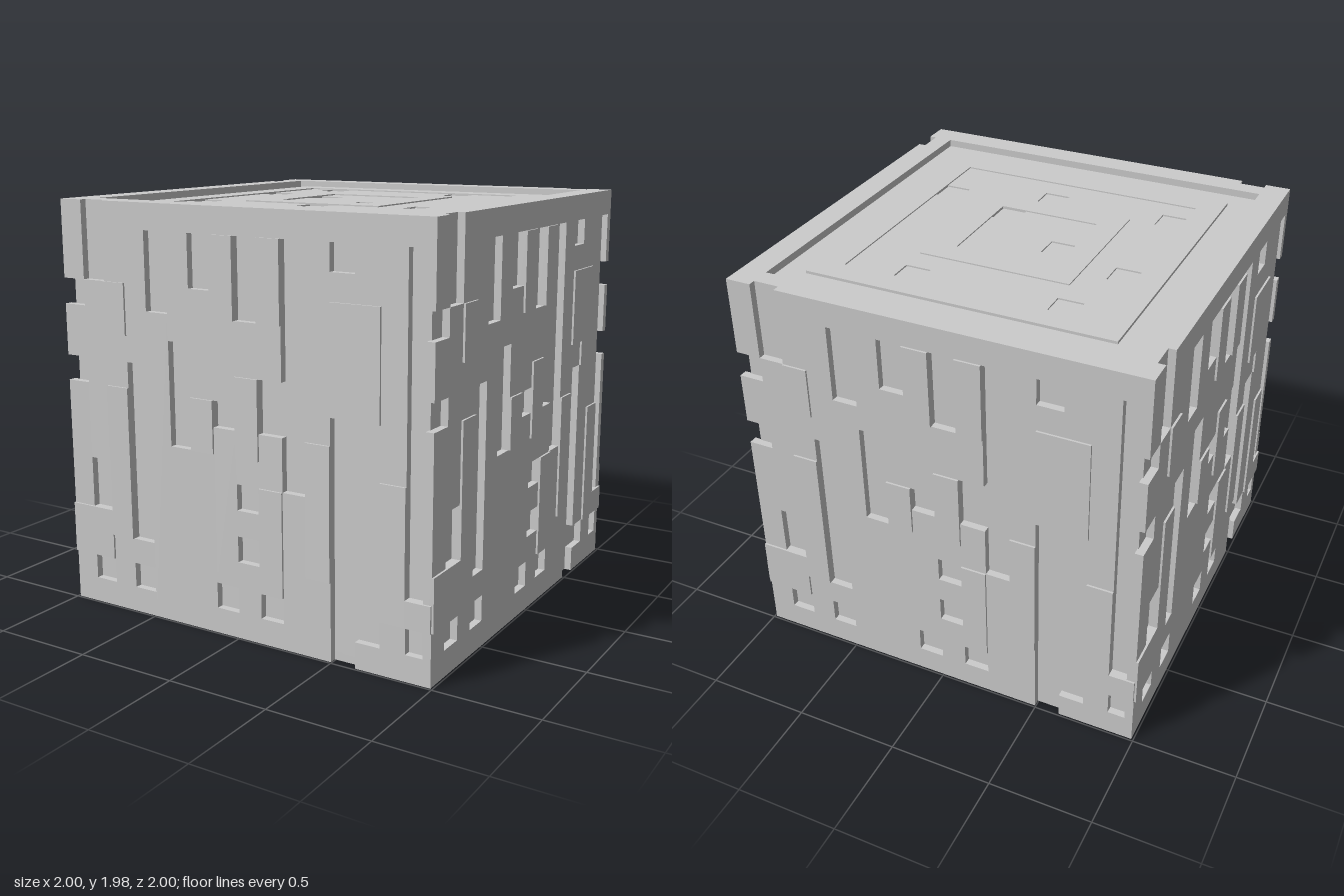
import * as THREE from 'three';
import { mergeGeometries } from 'three/addons/utils/BufferGeometryUtils.js';

const N = 16, HALF = 0.99, CELL = (2 * HALF) / N, CORE = 0.955;

// Height of every cell by a rule of column and row
const heights = (rule) =>
  Array.from({ length: N }, (_, c) => Array.from({ length: N }, (_, r) => rule(c, r)));

// Turn a height grid into blocks standing on the core's +z face
function relief(grid, limit) {
  const clip = (i) => Math.max(-limit, Math.min(limit, -HALF + i * CELL));
  const back = CORE - 0.005;
  const parts = [];
  grid.forEach((column, c) => {
    for (let r = 0, end; r < N; r = end) {
      const h = column[r];
      end = r + 1;
      while (end < N && column[end] === h) end++;
      if (h <= CORE) continue;
      const x0 = clip(c), x1 = clip(c + 1), y0 = clip(r), y1 = clip(end);
      const g = new THREE.BoxGeometry(x1 - x0, y1 - y0, h - back);
      parts.push(g.translate((x0 + x1) / 2, (y0 + y1) / 2, (h + back) / 2));
    }
  });
  return mergeGeometries(parts);
}

// Vertical strips in the bark: column, first row, last row
const grooves = [
  [0, 9, 9], [0, 12, 12], [1, 4, 5], [1, 13, 15], [3, 3, 9], [4, 12, 14],
  [5, 7, 10], [6, 13, 14], [7, 8, 8], [8, 3, 3], [8, 5, 5], [8, 12, 14],
  [9, 8, 9], [10, 6, 14], [12, 0, 8], [12, 14, 14], [15, 3, 14],
];
const plates = [
  [0, 2, 3], [1, 2, 3], [2, 3, 8], [2, 11, 12], [6, 7, 8], [7, 12, 14],
  [8, 7, 9], [9, 2, 5], [9, 12, 14], [11, 3, 7], [12, 10, 12], [13, 9, 12],
  [14, 2, 6], [15, 2, 2],
];

function barkHeight(c, r) {
  const inside = ([col, r0, r1]) => c === col && r >= r0 && r <= r1;
  const chip = r === 1 && c % 2 === 1 && c % 6 !== 5; // row of chips near the foot
  if (chip || grooves.some(inside)) return CORE;
  return plates.some(inside) ? 1 : HALF;
}

// Cut end: rim, groove, alternating growth rings and single sunken knots
const knots = [[3, 9], [6, 8], [9, 6], [8, 4], [12, 5], [3, 4], [4, 12], [10, 12]];

function endHeight(c, r) {
  const ring = Math.min(c, r, N - 1 - c, N - 1 - r);
  if (ring === 0) return HALF;
  if (ring === 1 || knots.some(([kc, kr]) => kc === c && kr === r)) return CORE;
  return ring === 2 || ring === 5 ? 0.968 : 0.962;
}

export function createModel() {
  const model = new THREE.Group();
  model.name = 'logBlock';
  const material = new THREE.MeshStandardMaterial({ color: 0xcccccc, flatShading: true });
  const add = (name, geometry, rx = 0, ry = 0) => {
    const mesh = new THREE.Mesh(geometry, material);
    mesh.name = name;
    mesh.rotation.set(rx, ry, 0);
    mesh.position.y = HALF;
    model.add(mesh);
  };

  // Solid heart
  add('core', new THREE.BoxGeometry(2 * CORE, 2 * CORE, 2 * CORE));

  // Same bark on all four sides
  const bark = relief(heights(barkHeight), HALF);
  ['barkFront', 'barkLeft', 'barkBack', 'barkRight'].forEach((name, i) =>
    add(name, bark, 0, (i * Math.PI) / 2));

  // Top and bottom cut ends
  const end = relief(heights(endHeight), CORE);
  add('topEnd', end, -Math.PI / 2);
  add('bottomEnd', end, Math.PI / 2);
  return model;
}
